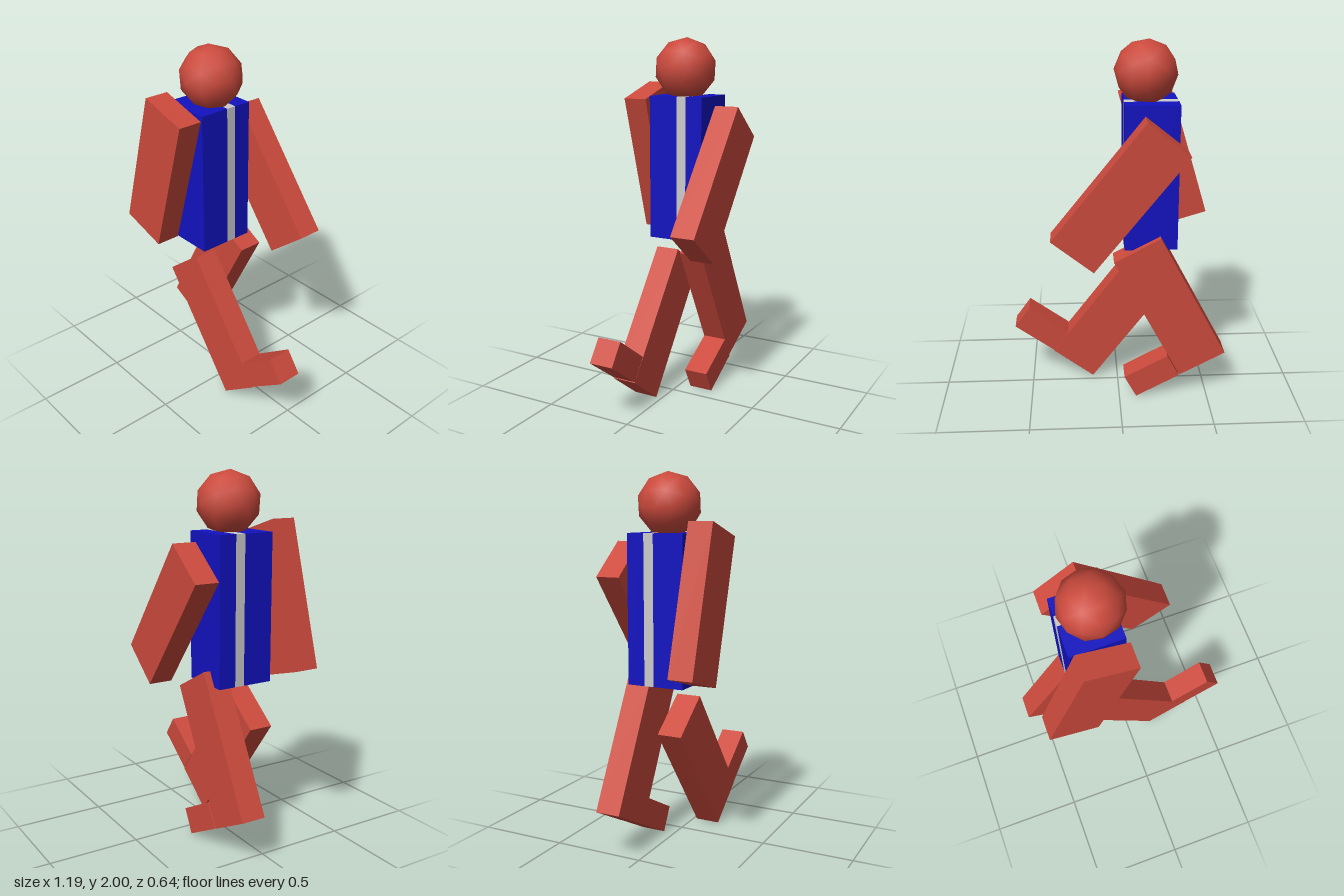
import * as THREE from 'three';

const red = new THREE.MeshStandardMaterial({ color: 0xcc4a3d });
const blue = new THREE.MeshStandardMaterial({ color: 0x1212c0 });
const grey = new THREE.MeshStandardMaterial({ color: 0xcccccc });

// Box of the given size, centred at pos and swung about z by angle
function box(name, size, pos, angle, material) {
  const mesh = new THREE.Mesh(new THREE.BoxGeometry(...size), material);
  mesh.name = name;
  mesh.position.set(...pos);
  mesh.rotation.z = angle;
  return mesh;
}

export function createModel() {
  const group = new THREE.Group();
  group.name = 'walkingFigure';

  // Head: low-poly ball with smooth normals
  const head = new THREE.Mesh(new THREE.IcosahedronGeometry(0.17, 1), red);
  head.name = 'head';
  head.position.set(-0.148, 1.834, 0.003);
  head.rotation.z = 0.1;
  group.add(head);

  // Torso: two blue slabs with a grey stripe running between them
  const slabs = [
    ['torsoFront', -0.005, 0.163, blue],
    ['torsoStripe', -0.06, -0.005, grey],
    ['torsoBack', -0.156, -0.06, blue],
  ];
  for (const [name, z0, z1, material] of slabs) {
    group.add(box(name, [0.287, 0.795, z1 - z0], [-0.174, 1.292, (z0 + z1) / 2], 0, material));
  }

  // Limbs in mid stride
  const limb = [0.287, 0.797, 0.136];
  group.add(box('frontArm', limb, [-0.268, 1.33, 0.25], -0.29, red));
  group.add(box('backArm', limb, [0.004, 1.24, -0.254], 0.675, red));
  group.add(box('frontLeg', limb, [0.019, 0.416, 0.095], 0.65, red));
  group.add(box('backLeg', limb, [-0.284, 0.555, -0.127], -0.487, red));

  // Feet
  const foot = [0.275, 0.143, 0.136];
  group.add(box('frontFoot', foot, [0.441, 0.328, 0.095], 0.63, red));
  group.add(box('backFoot', foot, [-0.184, 0.133, -0.132], -0.49, red));

  return group;
}
